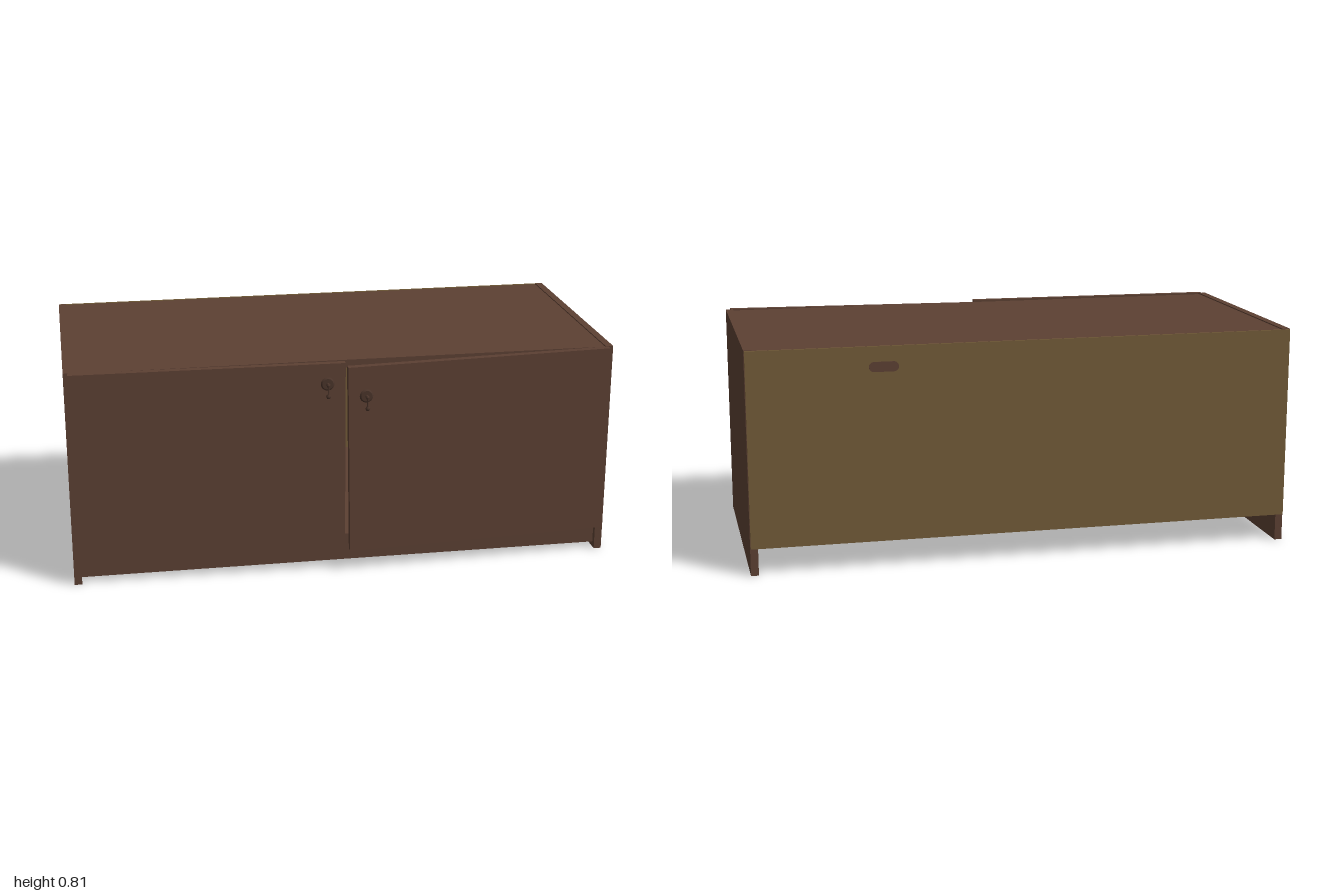
import * as THREE from 'three';

const brown = new THREE.MeshStandardMaterial({ color: 0x5c4033, name: 'brown wood' });
const olive = new THREE.MeshStandardMaterial({ color: 0x735b38, name: 'backing board' });
const bronze = new THREE.MeshStandardMaterial({ color: 0x4a342a, name: 'dark bronze' });

function add(parent, name, geometry, material, x = 0, y = 0, z = 0) {
  const mesh = new THREE.Mesh(geometry, material);
  mesh.name = name;
  mesh.position.set(x, y, z);
  parent.add(mesh);
  return mesh;
}

// Box given by its lower and upper corners
function board(parent, name, material, [x0, y0, z0], [x1, y1, z1]) {
  return add(parent, name, new THREE.BoxGeometry(x1 - x0, y1 - y0, z1 - z0), material,
    (x0 + x1) / 2, (y0 + y1) / 2, (z0 + z1) / 2);
}

// Drop pull: rosette, stem and a hanging pendant
function createHandle() {
  const handle = new THREE.Group();
  handle.name = 'handle';
  const rosette = add(handle, 'rosette', new THREE.CylinderGeometry(0.02, 0.025, 0.005, 16), bronze, 0, 0, 0.0025);
  rosette.rotation.x = Math.PI / 2;
  const stem = add(handle, 'stem', new THREE.CylinderGeometry(0.006, 0.006, 0.022, 10), bronze, 0, 0, 0.012);
  stem.rotation.x = Math.PI / 2;
  const profile = [[0, -0.05], [0.006, -0.048], [0.009, -0.042], [0.007, -0.036],
    [0.003, -0.032], [0.003, -0.008], [0.006, -0.002], [0.006, 0.004], [0, 0.007]];
  add(handle, 'pendant', new THREE.LatheGeometry(profile.map(p => new THREE.Vector2(...p)), 14), bronze, 0, 0, 0.021);
  return handle;
}

// Door hung on its outer edge; side is -1 or 1
function createDoor(side, swing, sag, handleY) {
  const width = 0.98, bottom = 0.1, top = 0.81, thick = 0.025;
  const middle = (bottom + top) / 2;
  const door = new THREE.Group();
  door.name = side < 0 ? 'rightDoor' : 'leftDoor';
  door.position.set(side * 0.985, middle, 0.422);
  door.rotation.set(0, side * swing, side * sag);
  add(door, 'doorPanel', new THREE.BoxGeometry(width, top - bottom, thick), brown, -side * width / 2, 0, thick / 2);
  const handle = createHandle();
  handle.position.set(-side * 0.915, handleY - middle, thick);
  door.add(handle);
  return door;
}

export function createModel() {
  const cabinet = new THREE.Group();
  cabinet.name = 'cabinet';

  // Carcass
  for (const side of [-1, 1]) {
    add(cabinet, 'sidePanel', new THREE.BoxGeometry(0.028, 0.81, 0.91), brown, side * 0.986, 0.405, -0.035);
    for (const y of [0.21, 0.7]) {
      add(cabinet, 'hinge', new THREE.BoxGeometry(0.02, 0.035, 0.008), bronze, side * 0.968, y, 0.42);
    }
  }
  board(cabinet, 'topPanel', brown, [-0.972, 0.777, -0.49], [0.972, 0.806, 0.412]);
  board(cabinet, 'bottomPanel', brown, [-0.972, 0.1, -0.49], [0.972, 0.128, 0.412]);
  board(cabinet, 'plinth', brown, [-0.972, 0.02, 0.375], [0.972, 0.1, 0.4]);
  board(cabinet, 'backPanel', olive, [-0.998, 0.1, -0.498], [0.998, 0.808, -0.49]);

  // Cable slot cover in the back
  const slot = new THREE.Shape();
  slot.absarc(0.035, 0, 0.018, -Math.PI / 2, Math.PI / 2);
  slot.absarc(-0.035, 0, 0.018, Math.PI / 2, Math.PI * 1.5);
  add(cabinet, 'cableSlot', new THREE.ExtrudeGeometry(slot, { depth: 0.003, bevelEnabled: false, curveSegments: 8 }),
    brown, 0.515, 0.735, -0.5);

  // Slightly open doors, one of them sagging
  cabinet.add(createDoor(-1, 0.015, 0, 0.735));
  cabinet.add(createDoor(1, 0.031, 0.014, 0.7));
  return cabinet;
}
